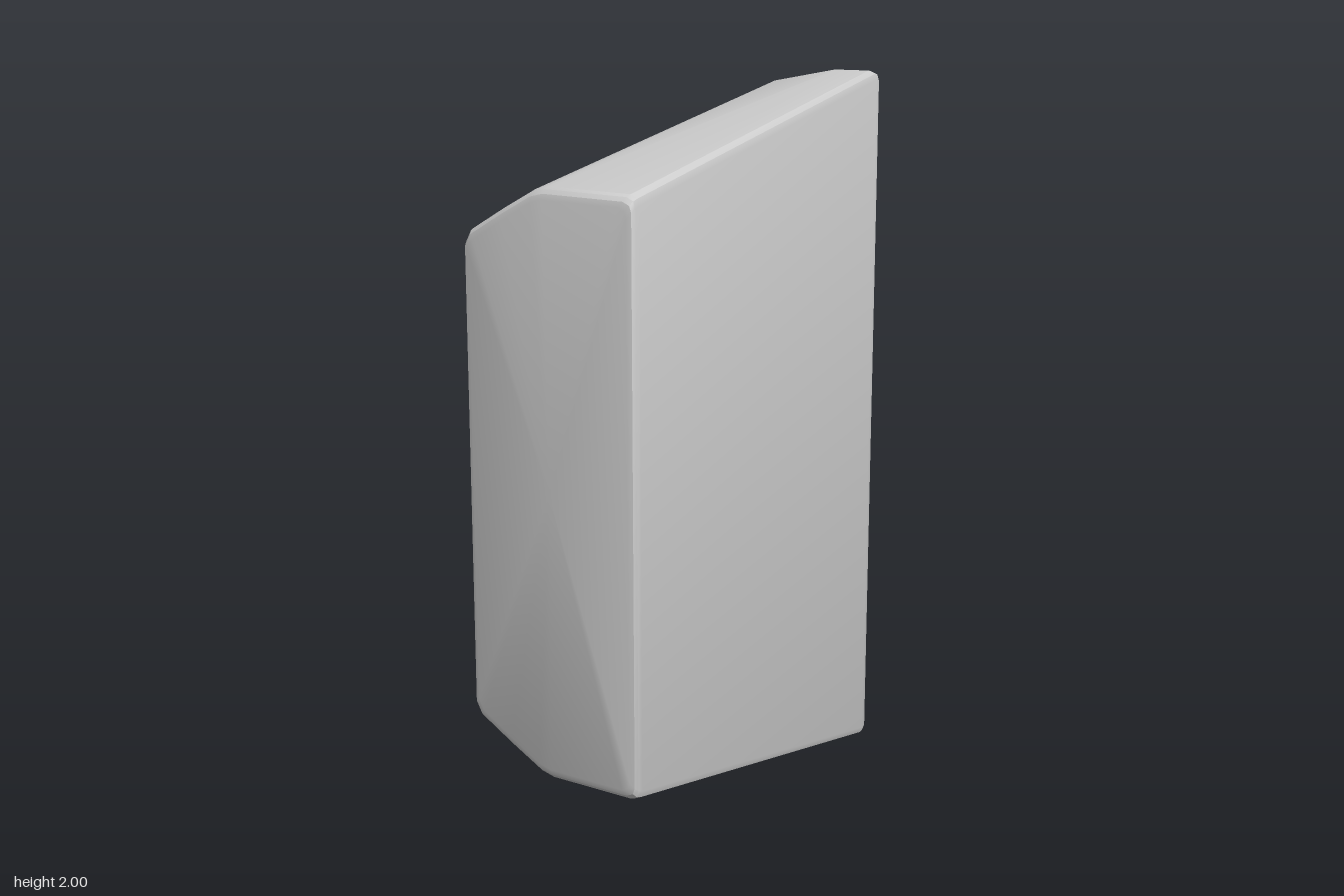
import * as THREE from 'three';
import { toCreasedNormals } from 'three/addons/utils/BufferGeometryUtils.js';

// Upper half of the cross-section at each end, from -x to +x
const FRONT = [[-.268, 1.63], [-.25, 1.663], [-.15, 1.722], [-.05, 1.777], [-.01, 1.787], [.24, 1.787], [.26, 1.778], [.266, 1.76]];
const BACK = [[-.268, 1.845], [-.25, 1.872], [-.16, 1.917], [-.07, 1.957], [.13, 1.998], [.24, 2], [.26, 1.992], [.266, 1.975]];

// Rings from front to back: z, inset in x, inset in y
const RINGS = [
  [.61, .02, .035], [.605, .007, .018], [.595, .002, .006], [.58, 0, 0],
  [-.58, 0, 0], [-.597, .002, .003], [-.606, .008, .01], [-.61, .03, .02],
];

// Closed outline at one z: blended upper half, then its mirror about y = 1
function outline([z, dx, dy]) {
  const t = THREE.MathUtils.clamp((.58 - z) / 1.16, 0, 1);
  const top = FRONT.map(([fx, fy], i) => {
    const x = THREE.MathUtils.lerp(fx, BACK[i][0], t);
    const y = THREE.MathUtils.lerp(fy, BACK[i][1], t);
    return [x * (1 - dx / .266), 1 + (y - 1) * (1 - dy / .9), z];
  });
  const bottom = top.map(([x, y]) => [x, 2 - y, z]).reverse();
  return [...top, ...bottom];
}

function loft(rings) {
  const n = rings[0].length;
  const last = (rings.length - 1) * n;
  const points = rings.flat();
  const index = [];
  for (let r = 0; r < rings.length - 1; r++) {
    for (let i = 0; i < n; i++) {
      const j = (i + 1) % n;
      const a = r * n + i, b = r * n + j;
      index.push(a, b, a + n, b, b + n, a + n);
    }
  }
  // End caps
  const c = points.length;
  points.push([0, 1, rings[0][0][2]], [0, 1, rings.at(-1)[0][2]]);
  for (let i = 0; i < n; i++) {
    const j = (i + 1) % n;
    index.push(c, j, i, c + 1, last + i, last + j);
  }
  const geometry = new THREE.BufferGeometry();
  geometry.setAttribute('position', new THREE.Float32BufferAttribute(points.flat(), 3));
  geometry.setIndex(index);
  return toCreasedNormals(geometry, .4);
}

export function createModel() {
  const group = new THREE.Group();
  group.name = 'bevelledBlock';
  const body = new THREE.Mesh(
    loft(RINGS.map(outline)),
    new THREE.MeshStandardMaterial({ color: 0xcccccc }),
  );
  body.name = 'taperedBody';
  group.add(body);
  return group;
}
